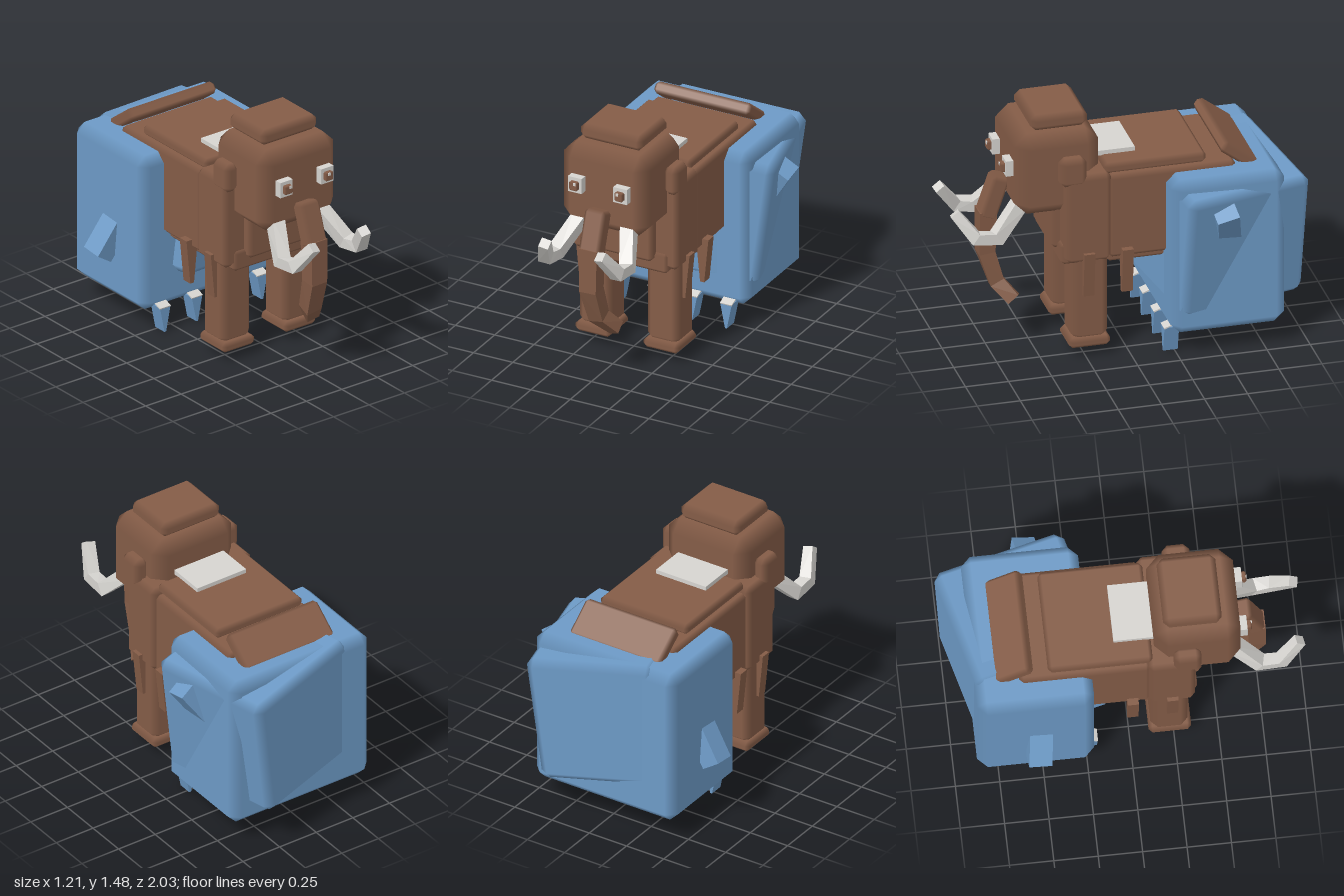
import * as THREE from 'three';
import { ConvexGeometry } from 'three/addons/geometries/ConvexGeometry.js';

const V = (x, y, z) => new THREE.Vector3(x, y, z);

function material(name, color) {
  const m = new THREE.MeshStandardMaterial({ color });
  m.name = name;
  return m;
}

// Box with one chamfer per edge; chamfers shade softly between flat faces
function chamferBox(w, h, d, b) {
  const half = [w / 2, h / 2, d / 2];
  const points = [];
  for (let axis = 0; axis < 3; axis++)
    for (const sx of [-1, 1]) for (const sy of [-1, 1]) for (const sz of [-1, 1]) {
      const p = [sx, sy, sz].map((s, i) => s * (half[i] - (i === axis ? 0 : b)));
      points.push(V(...p));
    }
  const geo = new ConvexGeometry(points);
  const pos = geo.attributes.position;
  for (let i = 0; i < pos.count; i++) {
    const p = [pos.getX(i), pos.getY(i), pos.getZ(i)];
    const n = p.map((c, k) => (Math.abs(Math.abs(c) - half[k]) < 1e-5 ? Math.sign(c) : 0));
    geo.attributes.normal.setXYZ(i, ...n);
  }
  return geo;
}

// Wedge prism: x range at the top, x range at the bottom, constant depth
function wedge([a0, a1], [b0, b1], yTop, yBottom, z, depth) {
  const points = [];
  for (const dz of [-depth / 2, depth / 2])
    points.push(V(a0, yTop, z + dz), V(a1, yTop, z + dz), V(b0, yBottom, z + dz), V(b1, yBottom, z + dz));
  return new ConvexGeometry(points);
}

// Bent square limb made of faceted segments with mitred joints
function limb(path, widths, depths) {
  const rings = path.map((p, i) => {
    const t = path[Math.min(i + 1, path.length - 1)].clone().sub(path[Math.max(i - 1, 0)]).normalize();
    const u = V(1, 0, 0).addScaledVector(t, -t.x).normalize();
    const v = t.clone().cross(u);
    return [[-1, -1], [1, -1], [1, 1], [-1, 1]].map(([a, b]) =>
      p.clone().addScaledVector(u, a * widths[i] / 2).addScaledVector(v, b * depths[i] / 2));
  });
  return rings.slice(1).map((r, i) => new ConvexGeometry([...rings[i], ...r]));
}

export function createModel() {
  const root = new THREE.Group();
  root.name = 'frozenMammoth';
  const fur = material('brownFur', 0x845c47);
  const ice = material('blueIce', 0x6d9ac6);
  const ivory = material('ivoryWhite', 0xd6d4d0);

  const add = (name, geo, mat) => {
    const mesh = new THREE.Mesh(geo, mat);
    mesh.name = name;
    root.add(mesh);
    return mesh;
  };
  // Chamfered block from its minimum and maximum corners
  const block = (name, lo, hi, b, mat = fur) => {
    const mesh = add(name, chamferBox(hi[0] - lo[0], hi[1] - lo[1], hi[2] - lo[2], b), mat);
    mesh.position.set((lo[0] + hi[0]) / 2, (lo[1] + hi[1]) / 2, (lo[2] + hi[2]) / 2);
    return mesh;
  };

  // Ice: main block and a second tilted block breaking through it
  block('iceBlock', [-0.475, 0.135, -0.87], [0.475, 1.09, -0.21], 0.056, ice);
  const tilted = add('tiltedIceBlock', chamferBox(0.77, 0.77, 0.77, 0.045), ice);
  tilted.position.set(0.09, 0.675, -0.56);
  tilted.rotation.set(0, 0.235, -0.13);

  // Ice shards sticking out of both sides
  for (const [x, y, tilt] of [[0.48, 0.8, 0.22], [-0.465, 0.535, 0.1]]) {
    const shard = add('iceShard', new THREE.BoxGeometry(0.115, 0.3, 0.13), ice);
    shard.position.set(x, y, -0.52);
    shard.rotation.set(tilt, 0, -0.58);
  }

  // Icicles with snow on top
  for (const x of [-0.335, -0.11, 0.13, 0.35]) {
    add('icicle', wedge([x - 0.037, x + 0.037], [x - 0.006, x + 0.006], 0.155, 0, -0.228, 0.085), ice);
    const cap = add('icicleSnow', new THREE.BoxGeometry(0.075, 0.008, 0.085), ivory);
    cap.position.set(x, 0.165, -0.224);
    cap.rotation.x = 0.35;
  }

  // Body
  block('body', [-0.325, 0.6, -0.62], [0.325, 1.115, 0.12], 0.025);
  block('belly', [-0.28, 0.555, -0.5], [0.28, 0.64, 0.12], 0.02);
  block('chest', [-0.342, 0.595, 0.105], [0.342, 1.14, 0.37], 0.03);
  block('chestBand', [-0.285, 0.57, 0.14], [0.285, 0.7, 0.385], 0.022);
  block('chestFur', [-0.205, 0.64, 0.3], [0.205, 1.02, 0.42], 0.025);
  block('backFur', [-0.295, 1.11, -0.455], [0.295, 1.175, 0.135], 0.022);
  block('backPatch', [-0.17, 1.17, -0.075], [0.165, 1.2, 0.15], 0.001, ivory);
  const rump = add('rumpFur', chamferBox(0.61, 0.07, 0.24, 0.02), fur);
  rump.position.set(0, 1.13, -0.645);
  rump.rotation.x = -0.65;

  // Head and topknot
  block('head', [-0.275, 0.88, 0.15], [0.275, 1.38, 0.637], 0.075);
  block('topHair', [-0.2, 1.38, 0.205], [0.2, 1.475, 0.535], 0.032);

  // Trunk
  const trunkTop = add('trunkTop', chamferBox(0.13, 0.26, 0.1, 0.02), fur);
  trunkTop.position.set(0, 0.922, 0.708);
  trunkTop.rotation.x = -0.33;
  limb([V(0, 0.84, 0.745), V(0, 0.58, 0.75), V(0.015, 0.39, 0.69), V(0.08, 0.295, 0.605)],
    [0.115, 0.105, 0.095, 0.075], [0.1, 0.095, 0.085, 0.075])
    .forEach(g => add('trunk', g, fur));

  // Everything mirrored left and right
  for (const s of [1, -1]) {
    const range = (a, b) => (s > 0 ? [a, b] : [-b, -a]);
    const side = (name, [x0, x1], y, z, b, mat) => {
      const [a, c] = range(x0, x1);
      return block(name, [a, y[0], z[0]], [c, y[1], z[1]], b, mat);
    };
    side('ear', [0.26, 0.355], [1.08, 1.255], [0.25, 0.405], 0.032);
    side('eye', [0.1, 0.188], [1.12, 1.215], [0.6, 0.68], 0.001, ivory);
    side('pupil', [0.117, 0.171], [1.14, 1.194], [0.66, 0.705], 0.008);
    const glint = add('eyeGlint', new THREE.BoxGeometry(0.016, 0.016, 0.006), ivory);
    glint.position.set(s > 0 ? 0.138 : -0.133, 1.184, 0.705);

    limb([V(s * 0.15, 0.935, 0.585), V(s * 0.225, 0.765, 0.745), V(s * 0.228, 0.78, 0.865), V(s * 0.175, 0.925, 0.975)],
      [0.08, 0.078, 0.072, 0.058], [0.08, 0.078, 0.072, 0.058])
      .forEach(g => add('tusk', g, ivory));

    side('frontLeg', [0.11, 0.322], [0.1, 0.64], [0.12, 0.33], 0.04);
    side('frontFoot', [0.103, 0.33], [0.06, 0.122], [0.108, 0.348], 0.022);

    // Hanging tufts of fur
    for (const z of [0.24, 0.017])
      add('furTuft', wedge(range(0.285, 0.365), range(0.312, 0.338), 0.66, 0.39, z, 0.063), fur);
  }
  return root;
}
